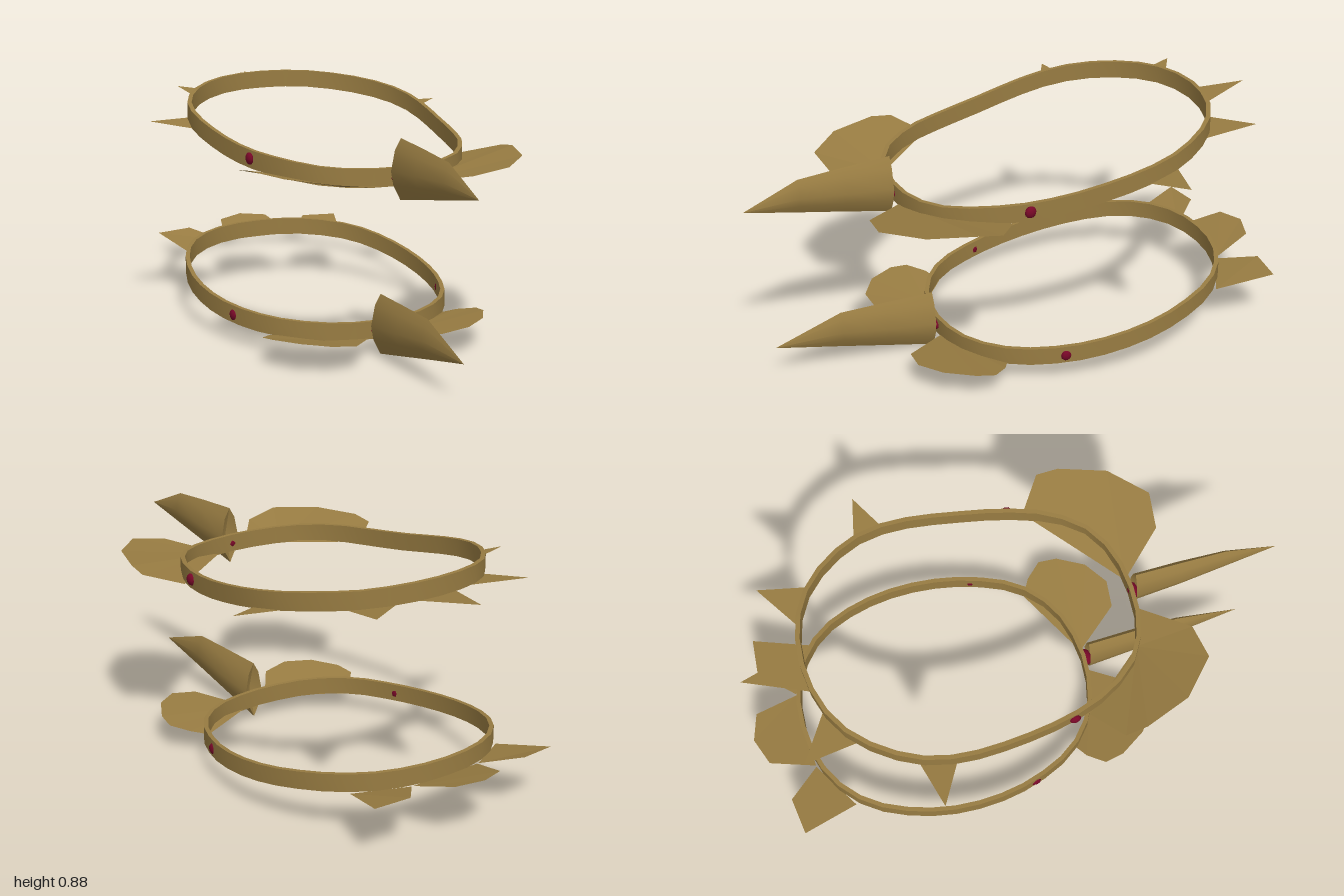
import * as THREE from 'three';
import { toCreasedNormals } from 'three/addons/utils/BufferGeometryUtils.js';

const gold = new THREE.MeshStandardMaterial({ color: 0x987c42, side: THREE.DoubleSide });
gold.name = 'old gold';
const ruby = new THREE.MeshStandardMaterial({ color: 0x780828 });
ruby.name = 'dark ruby';

// Joins rows of [x, y, z] points, each row a closed loop, into a skin
function loft(rows, closed, crease) {
  const out = [];
  const n = rows[0].length;
  const last = closed ? rows.length : rows.length - 1;
  for (let i = 0; i < last; i++) {
    const p = rows[i], q = rows[(i + 1) % rows.length];
    for (let k = 0; k < n; k++) {
      const m = (k + 1) % n;
      out.push(...p[k], ...p[m], ...q[m], ...p[k], ...q[m], ...q[k]);
    }
  }
  const g = new THREE.BufferGeometry();
  g.setAttribute('position', new THREE.Float32BufferAttribute(out, 3));
  return toCreasedNormals(g, crease);
}

// Thin flat-shaded plate fanned from its first corner
function plate(corners) {
  const out = [];
  for (let i = 1; i < corners.length - 1; i++) out.push(...corners[0], ...corners[i], ...corners[i + 1]);
  const g = new THREE.BufferGeometry();
  g.setAttribute('position', new THREE.Float32BufferAttribute(out, 3));
  g.computeVertexNormals();
  return g;
}

const mirror = (corners) => corners.map(([x, y, z]) => [-x, y, z]).reverse();

function add(group, name, geometry, material) {
  const mesh = new THREE.Mesh(geometry, material);
  mesh.name = name;
  group.add(mesh);
  return mesh;
}

// Band from half an outline, front to back; each point is x, bottom y, z
function band(half) {
  const inner = half.slice(1, -1);
  const pts = [...half, ...mirror(inner)].map((p) => new THREE.Vector3(...p));
  const curve = new THREE.CatmullRomCurve3(pts, true);
  const rows = [], count = 36, height = 0.065, thick = 0.016;
  for (let i = 0; i < count; i++) {
    const p = curve.getPointAt(i / count), t = curve.getTangentAt(i / count);
    const out = new THREE.Vector3(-t.z, 0, t.x).normalize();
    const ix = p.x - out.x * thick, iz = p.z - out.z * thick;
    rows.push([[p.x, p.y + height, p.z], [p.x, p.y, p.z], [ix, p.y, iz], [ix, p.y + height, iz]]);
  }
  return loft(rows, true, 0.7);
}

// Upright blade: sections are [z, top, bottom, half width], ending in a point
function blade(sections, tip) {
  const shape = [[0, 0], [0.75, 0.25], [1, 0.48], [0.6, 0.82], [0, 1], [-0.6, 0.82], [-1, 0.48], [-0.75, 0.25]];
  const rows = sections.map(([z, top, bottom, w]) =>
    shape.map(([sx, sy]) => [sx * w, bottom + (top - bottom) * sy, z]));
  const [z, top, bottom] = sections[0];
  rows.unshift(shape.map(() => [0, (top + bottom) / 2, z + 0.03])); // hollow back
  rows.push(shape.map(() => [0, ...tip]));
  return loft(rows, false, 0.55);
}

function circlet(name, spec) {
  const g = new THREE.Group();
  g.name = name;
  add(g, 'band', band(spec.band), gold);
  add(g, 'frontBlade', blade(spec.blade, spec.tip), gold);
  add(g, 'backPlate', plate(spec.backPlate), gold);
  for (const [part, corners] of spec.sidePlates) {
    add(g, part + 'Left', plate(corners), gold);
    add(g, part + 'Right', plate(mirror(corners)), gold);
  }
  // Side gems and the small gem behind the blade
  for (const s of [1, -1]) {
    const gem = add(g, s > 0 ? 'gemLeft' : 'gemRight', new THREE.SphereGeometry(0.022, 8, 6), ruby);
    gem.position.set(s * spec.gem[0], spec.gem[1], spec.gem[2]);
    gem.scale.x = 0.6;
  }
  const frontGem = add(g, 'frontGem', new THREE.SphereGeometry(0.02, 8, 6), ruby);
  frontGem.position.set(0, ...spec.frontGem);
  frontGem.scale.x = 1.7;
  return g;
}

export function createModel() {
  const model = new THREE.Group();
  model.name = 'pairOfCirclets';

  // Upper circlet with pointed spikes
  model.add(circlet('upperCirclet', {
    band: [
      [0, 0.645, 0.46], [0.15, 0.647, 0.44], [0.27, 0.655, 0.375], [0.36, 0.668, 0.25], [0.41, 0.677, 0.11],
      [0.44, 0.695, -0.05], [0.458, 0.725, -0.22], [0.457, 0.745, -0.33], [0.43, 0.765, -0.45],
      [0.37, 0.782, -0.56], [0.28, 0.795, -0.66], [0.16, 0.806, -0.725], [0, 0.81, -0.75],
    ],
    blade: [[0.462, 0.812, 0.595, 0.037], [0.63, 0.803, 0.63, 0.034], [0.8, 0.79, 0.664, 0.022]],
    tip: [0.705, 1],
    backPlate: [[0.08, 0.808, -0.74], [0.01, 0.843, -0.96], [-0.08, 0.808, -0.74]],
    sidePlates: [
      ['wing', [
        [0.055, 0.648, 0.45], [0.2, 0.69, 0.615], [0.33, 0.712, 0.63], [0.455, 0.72, 0.51],
        [0.515, 0.722, 0.34], [0.52, 0.71, 0.26], [0.4, 0.675, 0.17], [0.34, 0.665, 0.27], [0.2, 0.65, 0.41],
      ]],
      ['sideSpike', [[0.44, 0.745, -0.32], [0.595, 0.772, -0.41], [0.43, 0.767, -0.45]]],
      ['backSpike', [[0.3, 0.793, -0.64], [0.33, 0.825, -0.825], [0.165, 0.805, -0.72]]],
    ],
    gem: [0.412, 0.712, 0.11],
    frontGem: [0.675, 0.46],
  }));

  // Lower circlet with broad plates
  model.add(circlet('lowerCirclet', {
    band: [
      [0, 0.055, 0.305], [0.1, 0.056, 0.295], [0.2, 0.06, 0.265], [0.3, 0.066, 0.2], [0.37, 0.071, 0.115],
      [0.425, 0.078, -0.01], [0.455, 0.088, -0.13], [0.466, 0.104, -0.27], [0.455, 0.122, -0.4],
      [0.42, 0.143, -0.53], [0.36, 0.161, -0.65], [0.27, 0.172, -0.74], [0.15, 0.18, -0.798], [0, 0.182, -0.818],
    ],
    blade: [[0.315, 0.223, 0, 0.037], [0.5, 0.225, 0.043, 0.035], [0.67, 0.225, 0.083, 0.024]],
    tip: [0.14, 0.92],
    backPlate: [
      [0.145, 0.18, -0.805], [0.1, 0.227, -0.966], [0, 0.235, -1], [-0.1, 0.227, -0.966], [-0.145, 0.18, -0.805],
    ],
    sidePlates: [
      ['wing', [
        [0.04, 0.058, 0.3], [0.17, 0.095, 0.47], [0.27, 0.11, 0.48], [0.36, 0.115, 0.42],
        [0.42, 0.11, 0.32], [0.43, 0.1, 0.25], [0.38, 0.085, 0.19], [0.32, 0.068, 0.155], [0.2, 0.06, 0.26],
      ]],
      ['backSidePlate', [[0.33, 0.165, -0.7], [0.394, 0.213, -0.908], [0.256, 0.217, -0.923], [0.15, 0.18, -0.805]]],
    ],
    gem: [0.425, 0.108, -0.03],
    frontGem: [0.09, 0.31],
  }));
  return model;
}
